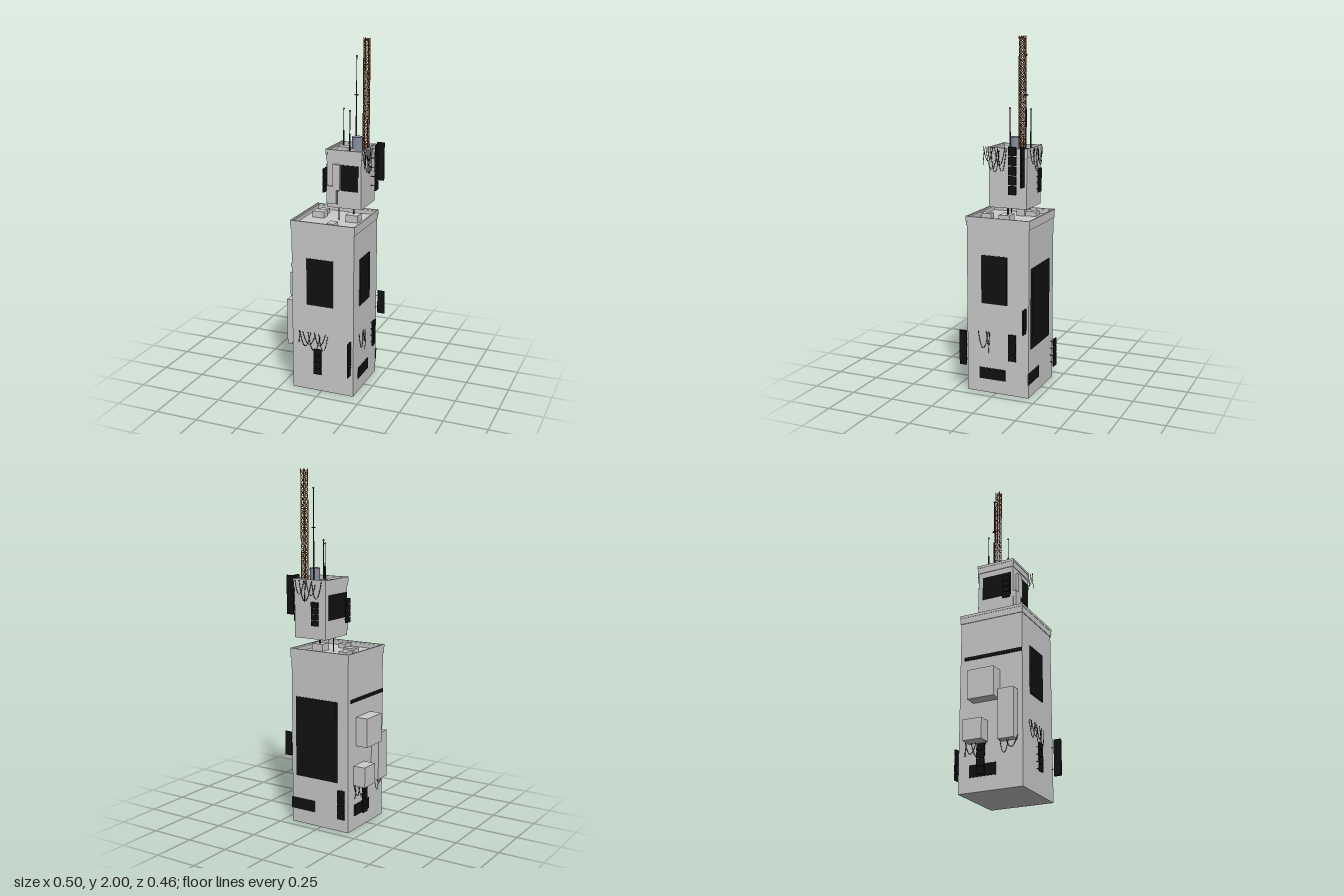
import * as THREE from 'three';

const mat = (color) => new THREE.MeshStandardMaterial({ color });
const GREY = mat(0xcccccc), BLACK = mat(0x111111), DARK = mat(0x2a2a2e), RUST = mat(0x9a4f2c),
  TANK = mat(0x8a90a0), GREEN = mat(0x1f6b3a), BRASS = mat(0x9a6a1c), RED = mat(0xa02020), TEAL = mat(0x6fa39a);
const V = (x, y, z) => new THREE.Vector3(x, y, z);

function add(parent, name, geometry, material, x = 0, y = 0, z = 0) {
  const m = new THREE.Mesh(geometry, material);
  m.name = name;
  m.position.set(x, y, z);
  parent.add(m);
  return m;
}

// Box given by its limits on each axis
function box(parent, name, [x0, x1], [y0, y1], [z0, z1], material = GREY) {
  return add(parent, name, new THREE.BoxGeometry(x1 - x0, y1 - y0, z1 - z0), material,
    (x0 + x1) / 2, (y0 + y1) / 2, (z0 + z1) / 2);
}

function bar(parent, name, a, b, r, material, sides = 6) {
  const m = add(parent, name, new THREE.CylinderGeometry(r, r, a.distanceTo(b), sides), material);
  m.position.copy(a).lerp(b, 0.5);
  m.quaternion.setFromUnitVectors(V(0, 1, 0), b.clone().sub(a).normalize());
  return m;
}

// Hollow rectangular rim lying flat
function rim(parent, name, [x0, x1], [y0, y1], [z0, z1], t) {
  const rect = (P, i) => new P().moveTo(x0 + i, -z1 + i).lineTo(x1 - i, -z1 + i)
    .lineTo(x1 - i, -z0 - i).lineTo(x0 + i, -z0 - i).closePath();
  const shape = rect(THREE.Shape, 0);
  shape.holes.push(rect(THREE.Path, t));
  const g = new THREE.ExtrudeGeometry(shape, { depth: y1 - y0, bevelEnabled: false });
  g.rotateX(-Math.PI / 2);
  add(parent, name, g, GREY, 0, y0, 0);
}

// Tower block with a sunken roof, parapet, cap and corner posts
function block(parent, name, [x0, x1], [y0, y1], [z0, z1], o) {
  const g = new THREE.Group();
  g.name = name;
  parent.add(g);
  box(g, name + 'Body', [x0, x1], [y0, y1 - 0.03], [z0, z1]);
  rim(g, name + 'Parapet', [x0 - o + 0.002, x1 + o - 0.002], [y1 - 0.05, y1 - 0.008], [z0 - o + 0.002, z1 + o - 0.002], o + 0.004);
  rim(g, name + 'Cap', [x0 - o, x1 + o], [y1 - 0.015, y1], [z0 - o, z1 + o], 0.009);
  for (const x of [x0, x1]) for (const z of [z0, z1])
    box(g, 'cornerPost', [x - 0.005, x + 0.005], [y1 - 0.03, y1 + 0.002], [z - 0.005, z + 0.005]);
}

// Wall frames: u runs to the viewer's right, d is the distance out from the axis
function wall(parent, name, turn) {
  const g = new THREE.Group();
  g.name = name;
  g.rotation.y = turn * Math.PI / 2;
  parent.add(g);
  return g;
}

function screen(w, u, y, d) {
  box(w, 'screenFrame', u, y, [d - 0.004, d + 0.003], DARK);
  box(w, 'screen', [u[0] + 0.003, u[1] - 0.003], [y[0] + 0.003, y[1] - 0.003], [d, d + 0.005], BLACK);
}

// Stack of small panels on a stem standing off the wall
function panelSign(w, u, [y0, y1], d, out, n) {
  const step = (y1 - y0) / n;
  for (let i = 0; i < n; i++) {
    const y = y0 + (i + 0.5) * step;
    box(w, 'signPanel', [u - 0.023, u + 0.023], [y - step * 0.45, y + step * 0.45], [out - 0.004, out + 0.004], BLACK);
    bar(w, 'signStem', V(u, y, d - 0.002), V(u, y, out), 0.002, DARK);
  }
  box(w, 'signSpine', [u - 0.003, u + 0.003], [y0, y1], [out - 0.006, out - 0.002], DARK);
}

// Sagging cables, each [start, end, sag]; an equal start and end hangs free
function cables(w, y, d, list) {
  list.forEach(([a, b, sag], i) => {
    const pts = [];
    for (let k = 0; k <= 8; k++) {
      const t = k / 8, free = a === b;
      const drop = free ? t * sag : 4 * t * (1 - t) * sag + t * (i % 3) * 0.01;
      pts.push(V(a + (b - a) * t + (free ? Math.sin(t * 5) * 0.003 : 0), y - drop, d + 0.004 * (i % 3) + 0.004 * Math.sin(t * Math.PI)));
    }
    add(w, 'cable', new THREE.TubeGeometry(new THREE.CatmullRomCurve3(pts), 16, 0.0018, 5), DARK);
  });
}

function antenna(parent, x, z, y0, y1, material, base) {
  bar(parent, 'antennaRod', V(x, y0, z), V(x, y1, z), 0.0025, DARK, 8);
  bar(parent, 'antennaLower', V(x, y0, z), V(x, y0 + (y1 - y0) * 0.45, z), 0.004, DARK, 8);
  add(parent, 'antennaTip', new THREE.SphereGeometry(0.006, 10, 8), material, x, y1 - 0.004, z);
  if (base) box(parent, 'antennaBase', [x - base, x + base], [y0, y0 + 0.02], [z - base, z + base], material);
}

export function createModel() {
  const model = new THREE.Group();
  model.name = 'signTower';

  // Main and upper blocks
  block(model, 'mainTower', [-0.18, 0.194], [0, 1.015], [-0.2, 0.173], 0.006);
  block(model, 'upperTower', [-0.021, 0.183], [1.075, 1.405], [-0.181, 0.041], 0.006);

  // Main roof boxes and the supports of the upper block
  box(model, 'roofUnit', [-0.125, -0.075], [0.985, 1.012], [-0.135, -0.066]);
  box(model, 'roofUnit', [-0.136, -0.064], [0.985, 1.022], [-0.068, -0.018]);
  box(model, 'roofUnit', [0.02, 0.064], [0.985, 1.01], [0.085, 0.147]);
  box(model, 'supportBase', [0.075, 0.148], [0.985, 1.026], [-0.065, 0]);
  bar(model, 'supportPost', V(0.11, 0.985, -0.04), V(0.11, 1.08, -0.04), 0.005, DARK, 8);
  bar(model, 'supportPost', V(0.026, 0.985, -0.026), V(0.026, 1.08, -0.026), 0.003, DARK, 8);

  const front = wall(model, 'frontWall', 0), left = wall(model, 'leftWall', 1),
    back = wall(model, 'backWall', 2), right = wall(model, 'rightWall', -1);

  // Front face
  screen(front, [-0.09, 0.07], [0.525, 0.802], 0.174);
  panelSign(front, -0.015, [0.112, 0.27], 0.173, 0.197, 4);
  cables(front, 0.365, 0.186, [[-0.13, -0.06, 0.09], [-0.11, -0.03, 0.07], [-0.075, 0, 0.1],
    [-0.04, 0.03, 0.075], [-0.01, 0.045, 0.1], [-0.128, -0.128, 0.07]]);
  box(front, 'bladeSign', [0.178, 0.185], [0.14, 0.345], [0.187, 0.23], BLACK);
  for (const y of [0.18, 0.3]) bar(front, 'bladeBracket', V(0.181, y, 0.17), V(0.181, y, 0.19), 0.002, DARK);
  screen(front, [0.065, 0.166], [1.175, 1.322], 0.042);

  // Ducts and pipe beside the upper front screen
  box(front, 'ductUpper', [0.02, 0.062], [1.18, 1.325], [0.038, 0.058]);
  box(front, 'ductLower', [-0.017, 0.042], [1.1, 1.2], [0.038, 0.058]);
  const pipe = [V(0.046, 1.1, 0.056), V(0.046, 1.17, 0.056), V(0.066, 1.19, 0.056), V(0.066, 1.325, 0.056)];
  for (let i = 0; i < 3; i++) bar(front, 'pipe', pipe[i], pipe[i + 1], 0.003, TEAL);

  // +x face, u = -z
  screen(left, [-0.085, 0.074], [0.525, 0.802], 0.195);
  screen(left, [-0.098, 0.06], [0.08, 0.146], 0.195);
  panelSign(left, 0.109, [0.21, 0.367], 0.194, 0.213, 4);
  cables(left, 0.365, 0.203, [[-0.103, -0.04, 0.1], [-0.05, -0.03, 0.07], [-0.032, -0.032, 0.125]]);
  box(left, 'bladeSign', [0.184, 0.191], [0.385, 0.525], [0.207, 0.25], BLACK);
  for (const y of [0.42, 0.49]) bar(left, 'bladeBracket', V(0.187, y, 0.192), V(0.187, y, 0.21), 0.002, DARK);
  box(left, 'bladeSign', [0.167, 0.174], [1.2, 1.42], [0.197, 0.242], BLACK);
  for (const y of [1.25, 1.35]) bar(left, 'bladeBracket', V(0.17, y, 0.18), V(0.17, y, 0.2), 0.002, DARK);
  panelSign(left, 0.11, [1.155, 1.42], 0.183, 0.218, 5);
  cables(left, 1.41, 0.2, [[-0.065, -0.01, 0.08], [-0.05, 0.02, 0.12], [-0.02, 0.03, 0.13], [0, 0.06, 0.1],
    [0.02, 0.07, 0.13], [-0.06, -0.06, 0.1], [-0.035, -0.035, 0.06]]);

  // Back face, u = -x
  screen(back, [-0.165, 0.11], [0.28, 0.742], 0.201);
  screen(back, [-0.198, -0.042], [0.08, 0.146], 0.201);
  panelSign(back, 0.149, [0.08, 0.25], 0.2, 0.226, 4);
  panelSign(back, -0.038, [1.15, 1.285], 0.181, 0.198, 4);
  cables(back, 1.4, 0.196, [[-0.17, -0.11, 0.08], [-0.14, -0.06, 0.11], [-0.09, -0.03, 0.07], [-0.06, 0.005, 0.1],
    [-0.1, -0.1, 0.12]]);

  // -x face, u = z
  box(right, 'wallUnit', [-0.117, 0.04], [0.485, 0.65], [0.175, 0.252]);
  box(right, 'wallUnit', [-0.14, -0.03], [0.26, 0.375], [0.175, 0.252]);
  box(right, 'wallUnit', [0.05, 0.143], [0.25, 0.525], [0.175, 0.227]);
  box(right, 'wallStrip', [-0.175, 0.172], [0.738, 0.758], [0.175, 0.184], BLACK);
  screen(right, [-0.135, 0.02], [0.08, 0.146], 0.181);
  panelSign(right, -0.058, [0.085, 0.25], 0.18, 0.204, 4);
  cables(right, 0.27, 0.192, [[-0.155, -0.09, 0.07], [-0.12, -0.03, 0.09], [0.05, 0.1, 0.08], [0.08, 0.15, 0.06],
    [-0.15, -0.15, 0.08]]);
  screen(right, [-0.152, 0.03], [1.18, 1.32], 0.023);
  panelSign(right, 0.009, [1.15, 1.29], 0.021, 0.046, 4);

  // Upper roof: tank, boxes and antennas
  const roof = 1.375;
  add(model, 'tank', new THREE.CylinderGeometry(0.029, 0.029, 0.085, 24), TANK, 0.11, roof + 0.042, -0.087);
  box(model, 'roofUnit', [0, 0.066], [roof, 1.4], [-0.105, -0.061]);
  box(model, 'roofUnit', [0.078, 0.105], [roof, 1.395], [-0.083, -0.057]);
  antenna(model, 0.01, -0.134, roof, 1.606, TANK);
  antenna(model, 0.085, -0.136, roof, 1.902, GREEN, 0.011);
  antenna(model, 0.083, -0.041, roof, 1.614, BRASS);
  for (const dir of [V(0.012, 0, 0), V(0, 0, 0.012)])
    bar(model, 'antennaCross', V(0.085, 1.685, -0.136).sub(dir), V(0.085, 1.685, -0.136).add(dir), 0.003, DARK);

  // Lattice mast
  const mast = new THREE.Group();
  mast.name = 'latticeMast';
  mast.position.set(0.143, 0, -0.138);
  model.add(mast);
  const h = 0.0135, n = 18, step = (1.992 - roof) / n;
  for (let s = 0; s < 4; s++) {
    const corner = (k, y) => V([h, h, -h, -h][k % 4], y, [h, -h, -h, h][k % 4]);
    bar(mast, 'mastLeg', corner(s, roof), corner(s, 2), 0.0025, RUST);
    for (let i = 0; i <= n; i++) {
      const y = roof + i * step;
      bar(mast, 'mastRung', corner(s, y), corner(s + 1, y), 0.0013, RUST, 4);
      if (i === n) continue;
      bar(mast, 'mastBrace', corner(s, y), corner(s + 1, y + step), 0.0013, RUST, 4);
      bar(mast, 'mastBrace', corner(s + 1, y), corner(s, y + step), 0.0013, RUST, 4);
    }
  }
  add(mast, 'mastTopLamp', new THREE.SphereGeometry(0.007, 12, 8), BRASS, 0, 1.991, 0);
  add(mast, 'mastLamp', new THREE.SphereGeometry(0.006, 12, 8), RED, 0.011, 1.99, 0.014);
  return model;
}
